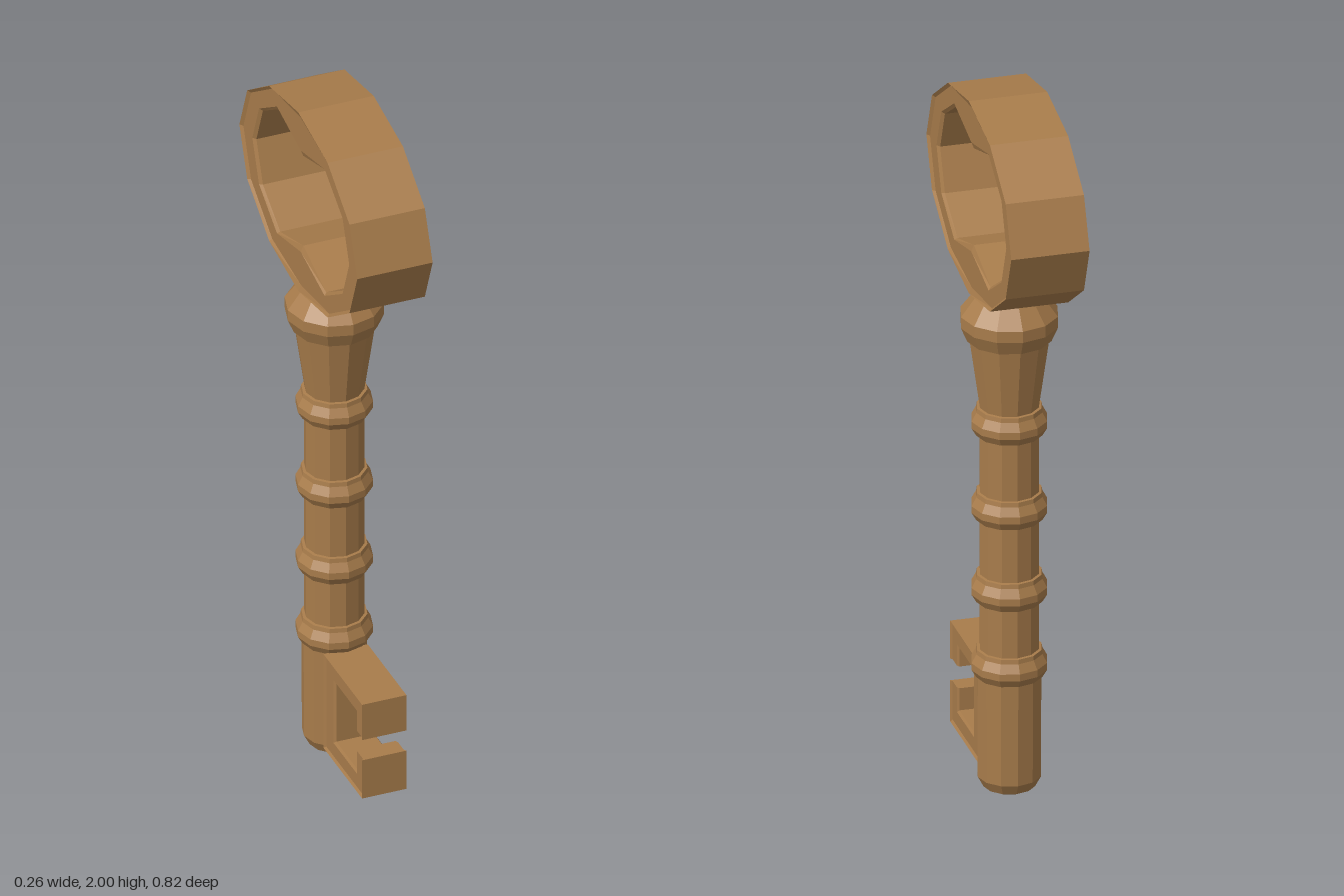
import * as THREE from 'three';

const bronze = new THREE.MeshStandardMaterial({ color: 0xa87c4b, flatShading: true });
bronze.name = 'bronze';

// Flat bar between an outer and an inner path in the (z, y) plane, both clockwise.
// Its sides step inwards: full width at the outer edge, narrower at the inner edge.
function bar(name, outer, inner, halfWidth, step, closed) {
  const half = [[0, halfWidth], [0.13, halfWidth - step],
    [0.87, halfWidth - step], [1, halfWidth - 2 * step]];
  const section = [...half, ...half.slice().reverse().map(([t, x]) => [t, -x])];
  const count = section.length;
  const positions = [];
  const indices = [];
  const quad = (a, b, c, d) => indices.push(a, b, c, a, c, d);

  outer.forEach(([z, y], i) => {
    for (const [t, x] of section) {
      positions.push(x, y + (inner[i][1] - y) * t, z + (inner[i][0] - z) * t);
    }
  });

  const spans = closed ? outer.length : outer.length - 1;
  for (let i = 0; i < spans; i++) {
    const a = i * count;
    const b = ((i + 1) % outer.length) * count;
    for (let j = 0; j < count; j++) {
      const k = (j + 1) % count;
      quad(a + j, b + j, b + k, a + k);
    }
  }

  // End caps of an open bar
  if (!closed) {
    const e = spans * count;
    for (let j = 0; j < 3; j++) {
      quad(j, j + 1, 6 - j, 7 - j);
      quad(e + 7 - j, e + 6 - j, e + j + 1, e + j);
    }
  }

  const geometry = new THREE.BufferGeometry();
  geometry.setAttribute('position', new THREE.Float32BufferAttribute(positions, 3));
  geometry.setIndex(indices);
  geometry.computeVertexNormals();
  const mesh = new THREE.Mesh(geometry, bronze);
  mesh.name = name;
  return mesh;
}

// Closed clockwise loop from one quarter, given from the top point to the side point
function mirrorQuarter(quarter, cy) {
  const right = [...quarter, ...quarter.slice(0, -1).reverse().map(([z, y]) => [z, -y])];
  const left = right.slice(1, -1).reverse().map(([z, y]) => [-z, y]);
  return [...right, ...left].map(([z, y]) => [z, y + cy]);
}

export function createModel() {
  const key = new THREE.Group();
  key.name = 'key';

  // Twelve-sided turned shaft with four beads and a flared collar
  const profile = [[0, 0.003], [0.045, 0.003], [0.07, 0.015], [0.086, 0.045], [0.087, 0.334]];
  for (const y of [0.37, 0.588, 0.825, 1.07]) {
    if (y > 0.5) profile.push([0.08, y - 0.037]);
    profile.push([0.09, y - 0.036], [0.103, y - 0.014], [0.103, y + 0.006],
      [0.09, y + 0.03], [0.088, y + 0.042], [0.08, y + 0.043]);
  }
  profile.push([0.108, 1.309], [0.115, 1.31], [0.132, 1.35], [0.132, 1.382],
    [0.077, 1.455], [0, 1.465]);
  const shaft = new THREE.Mesh(
    new THREE.LatheGeometry(profile.map(([r, y]) => new THREE.Vector2(r, y)), 12), bronze);
  shaft.name = 'shaft';
  shaft.position.z = -0.012;
  key.add(shaft);

  // Oval handle ring, its opening pinched at top and bottom
  const ringOuter = mirrorQuarter([[0, 0.2785], [0.203, 0.241], [0.355, 0.138], [0.409, 0]], 1.7215);
  const ringInner = mirrorQuarter([[0, 0.14], [0.16, 0.191], [0.28, 0.115], [0.325, 0]], 1.7215);
  key.add(bar('handleRing', ringOuter, ringInner, 0.107, 0.007, true));

  // C-shaped bit with two teeth facing each other
  const bitOuter = [[0.335, 0.167], [0.335, 0.048], [0.066, 0.048],
    [0.066, 0.34], [0.335, 0.34], [0.335, 0.23]];
  const bitInner = [[0.28, 0.167], [0.28, 0.103], [0.132, 0.103],
    [0.132, 0.285], [0.28, 0.285], [0.28, 0.23]];
  key.add(bar('bit', bitOuter, bitInner, 0.063, 0.005, false));

  return key;
}
